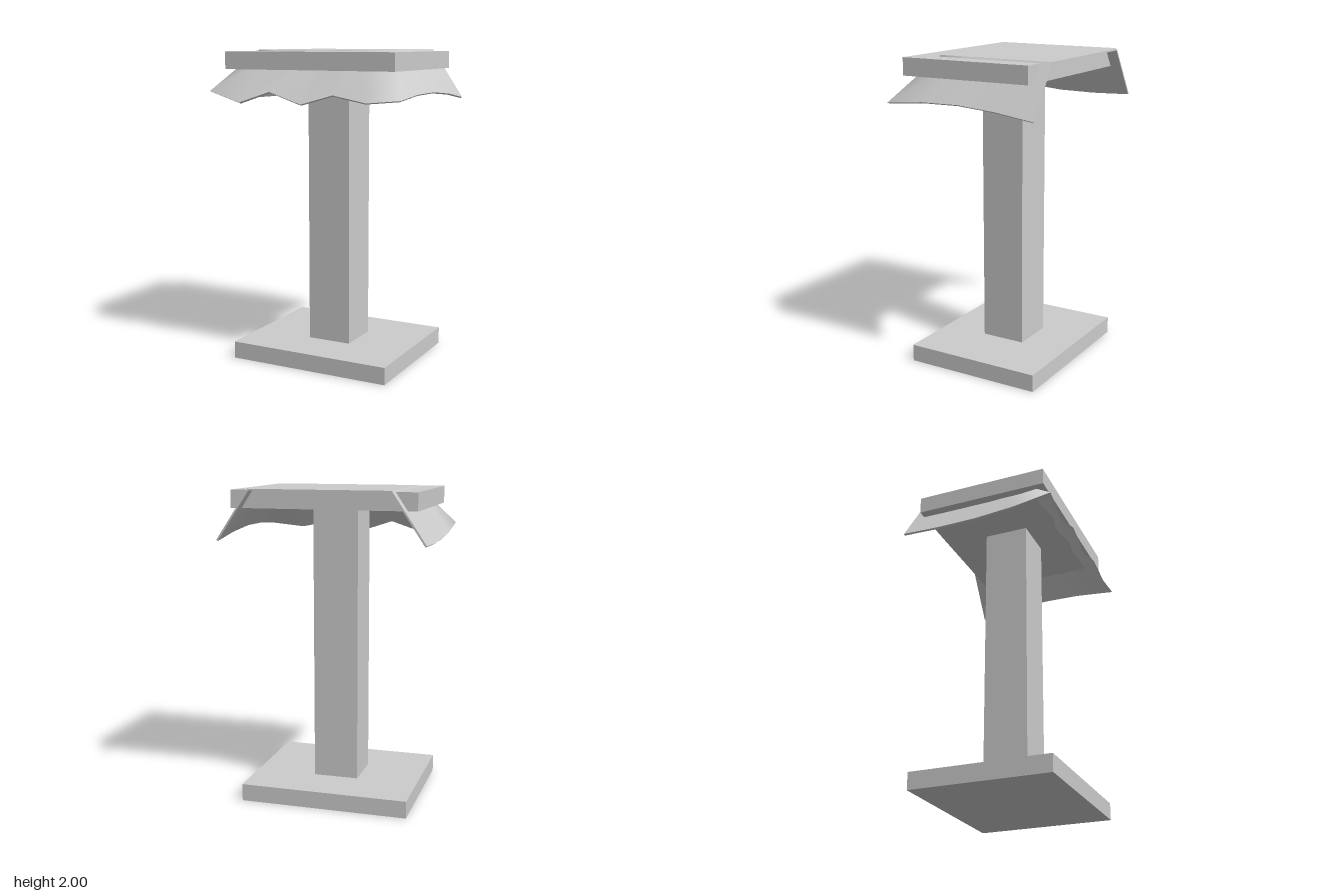
import * as THREE from 'three';

const grey = new THREE.MeshStandardMaterial({ color: 0xcccccc, side: THREE.DoubleSide });
grey.name = 'plain grey';

function box(name, w, h, d, y) {
  const mesh = new THREE.Mesh(new THREE.BoxGeometry(w, h, d), grey);
  mesh.name = name;
  mesh.position.y = y + h / 2;
  return mesh;
}

// Strip of quads between two polylines of equal length, a above b
function strip(name, a, b) {
  const pos = [], index = [];
  a.forEach((p, i) => {
    pos.push(...p, ...b[i]);
    if (i) {
      const k = 2 * i;
      index.push(k - 2, k - 1, k, k, k - 1, k + 1);
    }
  });
  const g = new THREE.BufferGeometry();
  g.setAttribute('position', new THREE.Float32BufferAttribute(pos, 3));
  g.setIndex(index);
  g.computeVertexNormals();
  const mesh = new THREE.Mesh(g, grey);
  mesh.name = name;
  return mesh;
}

function createCloth() {
  const cloth = new THREE.Group();
  cloth.name = 'cloth';
  const back = -0.505, t = 0.01;

  // Flat part lying on the table top
  const top = box('clothTop', 0.88, t, 0.76, 2 - t);
  top.position.z = back + 0.38;
  cloth.add(top);

  // Hem heights along the left edge, the front and the right edge
  const leftHem = [1.69, 1.682, 1.685, 1.705, 1.745];
  const frontHem = [1.68, 1.75, 1.68, 1.74, 1.7];
  const rightHem = [1.72, 1.742, 1.745, 1.725, 1.69];

  const upper = [], lower = [];
  const column = (ux, uz, lx, lz, y) => {
    upper.push([ux, 2, uz]);
    lower.push([lx, y, lz]);
  };
  const lerp = THREE.MathUtils.lerp;
  leftHem.forEach((y, i) =>
    column(-0.44, lerp(back, 0.255, i / 4), -0.65, lerp(back, 0.505, i / 4), y));
  frontHem.forEach((y, i) =>
    column(lerp(-0.44, 0.44, (i + 1) / 6), 0.255, lerp(-0.65, 0.65, (i + 1) / 6), 0.505, y));
  rightHem.forEach((y, i) =>
    column(0.44, lerp(0.255, back, i / 4), 0.65, lerp(0.505, back, i / 4), y));

  // Inner face, set in by the cloth thickness
  const inset = ([x, y, z]) => [x * (1 - t / 0.65), y - t * 0.7, z > 0.2 ? z - t : z];
  const upperIn = upper.map(inset), lowerIn = lower.map(inset);
  cloth.add(strip('drapeOutside', upper, lower));
  cloth.add(strip('drapeInside', lowerIn, upperIn));
  cloth.add(strip('hem', lower, lowerIn));

  // Thin back ends of the two side drapes
  const n = upper.length - 1;
  cloth.add(strip('leftEnd', [upperIn[0], upper[0]], [lowerIn[0], lower[0]]));
  cloth.add(strip('rightEnd', [upper[n], upperIn[n]], [lower[n], lowerIn[n]]));
  return cloth;
}

export function createModel() {
  const model = new THREE.Group();
  model.name = 'drapedPedestal';
  model.add(
    box('base', 1.08, 0.11, 0.9, 0),
    box('pillar', 0.29, 1.77, 0.29, 0.11),
    box('tableTop', 1.16, 0.11, 0.865, 1.88),
    createCloth(),
  );
  return model;
}
